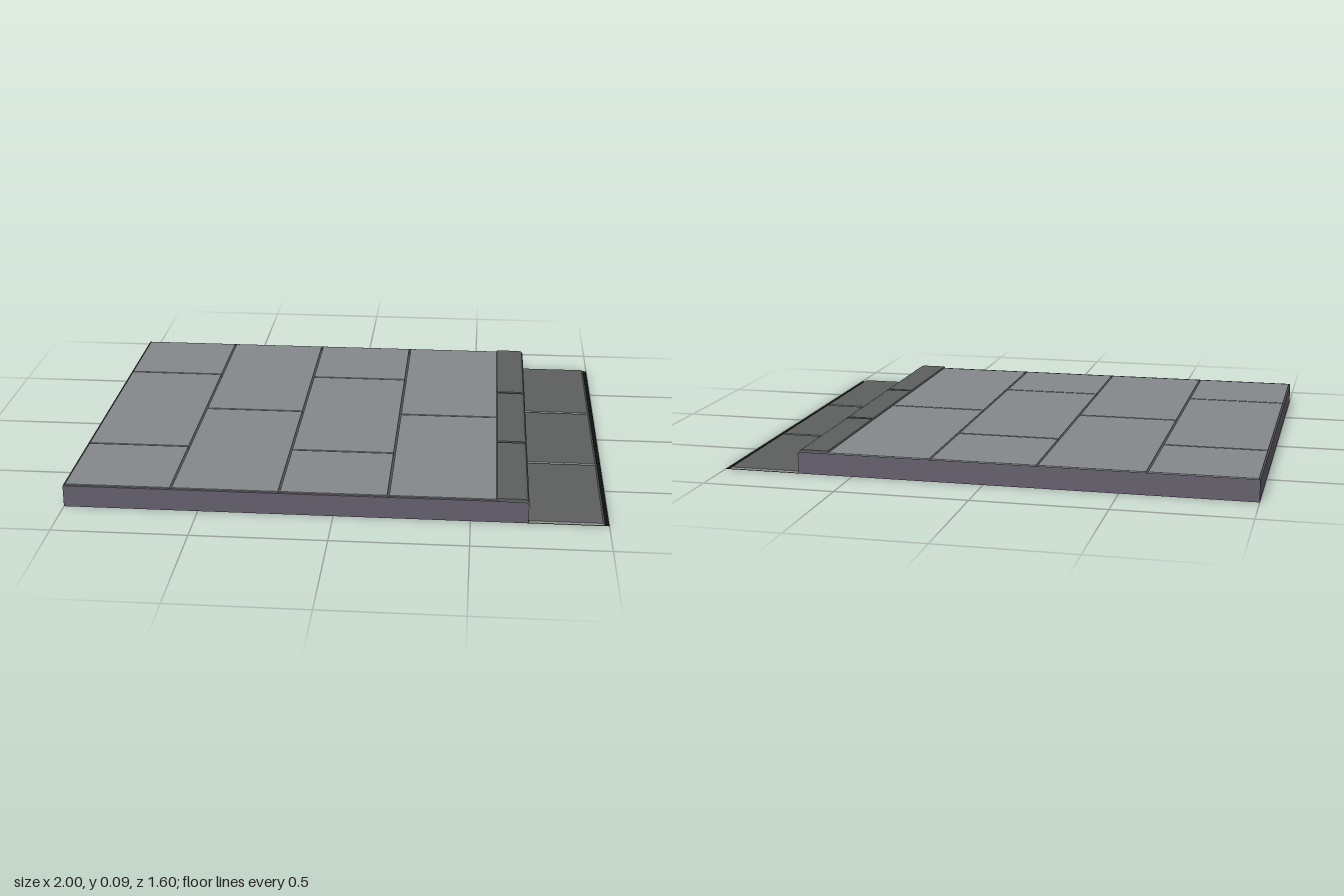
import * as THREE from 'three';

const mat = (color) => new THREE.MeshStandardMaterial({ color, flatShading: true, side: THREE.DoubleSide });
const stone = mat(0x85888c);
const side = mat(0x645f6c);
const kerb = mat(0x5c605f);
const tar = mat(0x0e0f0f);

// Open-bottomed shell: rectangular rings [x0, x1, z0, z1, y] from low to high, capped on top
function shell(rings) {
  const pos = [];
  const corners = ([x0, x1, z0, z1, y]) => [[x0, y, z1], [x1, y, z1], [x1, y, z0], [x0, y, z0]];
  const quad = (a, b, c, d) => pos.push(...a, ...b, ...c, ...a, ...c, ...d);
  for (let i = 0; i + 1 < rings.length; i++) {
    const lo = corners(rings[i]);
    const hi = corners(rings[i + 1]);
    for (let k = 0; k < 4; k++) quad(lo[k], lo[(k + 1) % 4], hi[(k + 1) % 4], hi[k]);
  }
  quad(...corners(rings[rings.length - 1]));
  const geo = new THREE.BufferGeometry();
  geo.setAttribute('position', new THREE.Float32BufferAttribute(pos, 3));
  geo.computeVertexNormals();
  return geo;
}

export function createModel() {
  const model = new THREE.Group();
  const add = (name, geo, material, x = 0, y = 0, z = 0) => {
    const mesh = new THREE.Mesh(geo, material);
    mesh.name = name;
    mesh.position.set(x, y, z);
    model.add(mesh);
    return mesh;
  };

  // Paving slabs in staggered columns, with V-shaped joints
  const columnBreaks = [[-0.798, -0.4, 0.4, 0.79], [-0.798, 0, 0.79]];
  for (let c = 0; c < 4; c++) {
    const x0 = c === 0 ? -0.998 : -1 + 0.4 * c;
    const x1 = -0.6 + 0.4 * c;
    const breaks = columnBreaks[c % 2];
    for (let i = 0; i + 1 < breaks.length; i++) {
      const [z0, z1] = [breaks[i], breaks[i + 1]];
      const e = 0.004;
      add('pavingSlab', shell([
        [x0, x1, z0, z1, 0.052],
        [x0 + e, x1 - e, z0 + e, z1 - e, 0.085],
      ]), stone);
    }
  }

  // Outer walls of the pavement
  const outline = new THREE.Shape([
    [-1, 0], [0.71, 0], [0.71, 0.075], [0.695, 0.083], [-1, 0.083],
  ].map(([x, y]) => new THREE.Vector2(x, y)));
  add('frontWall', new THREE.ShapeGeometry(outline), side, 0, 0, 0.8);
  add('backWall', new THREE.ShapeGeometry(outline), side, 0, 0, -0.8);
  add('rightWall', new THREE.PlaneGeometry(1.6, 0.083), side, -1, 0.0415, 0).rotation.y = -Math.PI / 2;
  add('frontRim', new THREE.PlaneGeometry(1.6, 0.01), side, -0.2, 0.083, 0.795).rotation.x = -Math.PI / 2;

  // Three bevelled kerb stones, each with a gutter plate beside it
  const length = 1.6 / 3;
  for (let i = 0; i < 3; i++) {
    const z0 = -0.8 + i * length + 0.002;
    const z1 = z0 + length - 0.004;
    const e = 0.005;
    add('kerbStone', shell([
      [0.592, 0.71, z0, z1, 0.006],
      [0.592, 0.71, z0 + e, z1 - e, 0.014],
      [0.592, 0.71, z0 + e, z1 - e, 0.079],
      [0.592, 0.705, z0 + e, z1 - e, 0.087],
      [0.595, 0.693, z0 + e, z1 - e, 0.091],
    ]), kerb);
    add('gutterPlate', shell([
      [0.71, 0.985, z0, z1, 0.001],
      [0.712, 0.978, z0 + e, z1 - e, 0.007],
    ]), kerb);
  }

  // Dark road strip beneath the gutter
  add('roadStrip', new THREE.PlaneGeometry(0.29, 1.6), tar, 0.855, 0, 0).rotation.x = -Math.PI / 2;
  return model;
}
